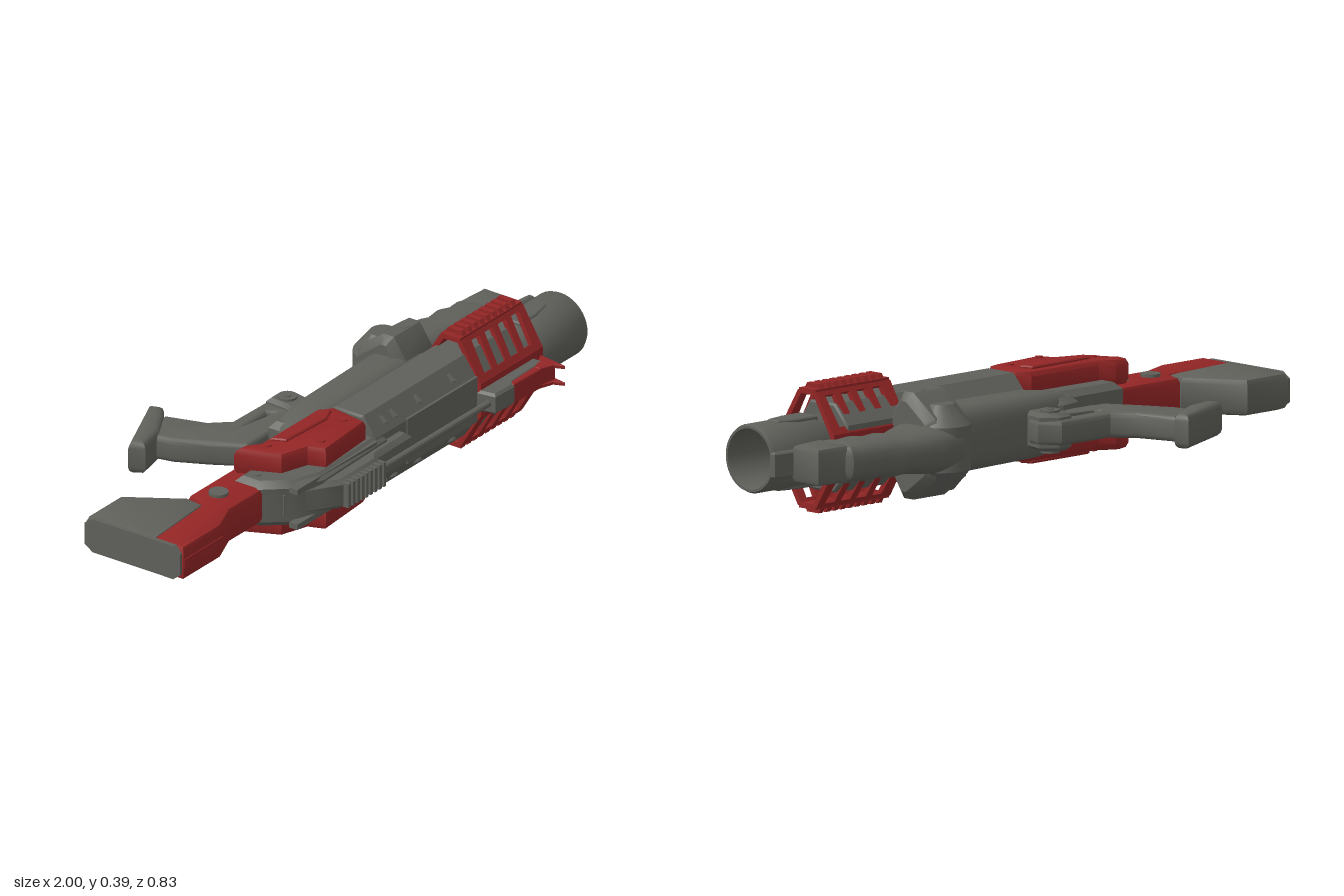
import * as THREE from 'three';
import { toCreasedNormals } from 'three/addons/utils/BufferGeometryUtils.js';

const CY = 0.197; // height of the plane of symmetry
const BZ = 0.192; // barrel axis depth

export function createModel() {
  const root = new THREE.Group();
  const paint = (name, color) => {
    const m = new THREE.MeshStandardMaterial({ color, side: THREE.DoubleSide });
    m.name = name;
    return m;
  };
  const grey = paint('gunmetal', 0x5f605a);
  const red = paint('red', 0x932525);

  const add = (name, mat, geo, crease = 0.6) => {
    const mesh = new THREE.Mesh(toCreasedNormals(geo, crease), mat);
    mesh.name = name;
    root.add(mesh);
    return mesh;
  };
  const toShape = (pts, Kind = THREE.Shape) => new Kind(pts.map(([a, b]) => new THREE.Vector2(a, b)));
  const extrude = (shape, depth, bevel, segs = 1) => new THREE.ExtrudeGeometry(shape, {
    depth: depth - 2 * bevel, bevelEnabled: bevel > 0, bevelThickness: bevel,
    bevelSize: bevel, bevelOffset: -bevel, bevelSegments: segs, curveSegments: 12,
  }).translate(0, 0, bevel - depth / 2);

  // side outline [x, z] given a thickness in y; dy shifts it off the symmetry plane
  const slab = (name, mat, pts, half, { bevel = 0.012, segs = 1, dy = 0, holes = [] } = {}) => {
    const flip = (list) => list.map(([x, z]) => [x, -z]);
    const shape = toShape(flip(pts));
    shape.holes = holes.map((h) => toShape(flip(h), THREE.Path));
    const geo = extrude(shape, half * 2, bevel, segs).rotateX(-Math.PI / 2).translate(0, CY + dy, 0);
    return add(name, mat, geo);
  };
  const pair = (name, mat, pts, half, dy, opt = {}) => [1, -1].forEach((s) =>
    slab((s > 0 ? 'upper ' : 'lower ') + name, mat, pts, half, { ...opt, dy: s * dy }));
  // cross-section [z, dy] run along x
  const prism = (name, mat, pts, x0, x1, bevel = 0) => add(name, mat,
    extrude(toShape(pts.map(([z, y]) => [-z, y])), x1 - x0, bevel)
      .rotateY(Math.PI / 2).translate((x0 + x1) / 2, CY, 0));
  const mirrored = (half) => [...half, ...half.map(([z, y]) => [z, -y]).reverse()];
  const box = (name, mat, w, h, d, x, dy, z) =>
    add(name, mat, new THREE.BoxGeometry(w, h, d).translate(x, CY + dy, z));
  const pin = (name, mat, r, len, x, z, n = 20) =>
    add(name, mat, new THREE.CylinderGeometry(r, r, len, n).translate(x, CY, z));

  // rounded loft along x through stations [x, zMin, zMax, halfHeight]
  const loft = (name, mat, stations, power = 0.7, n = 24) => {
    const pos = [], idx = [], last = stations.length - 1;
    const soft = (v) => Math.sign(v) * Math.abs(v) ** power;
    for (const [x, a, b, ry] of stations) for (let j = 0; j < n; j++) {
      const t = (j / n) * Math.PI * 2;
      pos.push(x, CY + ry * soft(Math.cos(t)), (a + b) / 2 + ((b - a) / 2) * soft(Math.sin(t)));
    }
    for (let i = 0; i < last; i++) for (let j = 0; j < n; j++) {
      const k = (j + 1) % n, p = i * n, q = p + n;
      idx.push(p + j, p + k, q + j, p + k, q + k, q + j);
    }
    for (let j = 1; j < n - 1; j++) {
      idx.push(0, j + 1, j, last * n, last * n + j, last * n + j + 1);
    }
    const g = new THREE.BufferGeometry();
    g.setAttribute('position', new THREE.Float32BufferAttribute(pos, 3));
    g.setIndex(idx);
    return add(name, mat, g, 0.8);
  };

  // stock, closed at the end by a full-height pad
  slab('butt', grey, [[-0.99, -0.12], [-0.82, -0.12], [-0.71, 0.05], [-0.72, 0.115], [-0.99, 0.135]], 0.058, { bevel: 0.022, segs: 2 });
  slab('stock', red, [[-0.99, 0.128], [-0.72, 0.11], [-0.7, 0.045], [-0.43, 0.045], [-0.43, 0.2], [-0.7, 0.2],
    [-0.8, 0.24], [-0.99, 0.24]], 0.058, { bevel: 0.018, segs: 2 });
  box('stock ridge', red, 0.19, 0.03, 0.006, -0.89, 0, 0.24);
  prism('butt pad', grey, mirrored([[0.235, 0.035], [0.21, 0.055], [-0.09, 0.055], [-0.12, 0.035]]), -1, -0.985);
  pin('stock knob', grey, 0.03, 0.135, -0.645, 0.115);

  // receiver
  slab('receiver', grey, [[-0.55, 0.1], [-0.45, 0.1], [-0.45, 0.035], [-0.2, 0.035], [-0.2, -0.03], [-0.12, -0.045],
    [-0.05, 0.0], [-0.05, 0.3], [-0.38, 0.31], [-0.48, 0.27], [-0.55, 0.19]], 0.075, { bevel: 0.02 });
  slab('receiver top', grey, [[-0.5, 0.2], [0.04, 0.2], [0.04, 0.325], [-0.13, 0.328], [-0.16, 0.35], [-0.34, 0.35],
    [-0.4, 0.31], [-0.5, 0.25]], 0.048, { bevel: 0.014 });
  for (let i = 0; i < 9; i++) box('rail tooth', grey, 0.012, 0.08, 0.025, -0.33 + i * 0.022, 0, 0.357);
  for (const s of [1, -1]) box('receiver side rail', grey, 0.4, 0.018, 0.03, -0.3, s * 0.058, 0.285);
  pin('rear receiver pin', grey, 0.014, 0.155, -0.5, 0.15, 12);

  // red side covers
  pair('side cover', red, [[-0.51, 0.072], [-0.46, 0.075], [-0.42, 0.105], [-0.14, 0.11], [-0.1, 0.14], [-0.12, 0.272],
    [-0.34, 0.288], [-0.36, 0.235], [-0.45, 0.205], [-0.485, 0.13]], 0.043, 0.097, { bevel: 0.02, segs: 2 });
  pair('cover ridge', red, [[-0.4, 0.125], [-0.16, 0.125], [-0.14, 0.16], [-0.19, 0.18], [-0.38, 0.17]], 0.006, 0.142, { bevel: 0.004 });
  for (const [x, z] of [[-0.43, 0.14], [-0.16, 0.22], [-0.31, 0.25]]) pin('cover bolt', red, 0.012, 0.288, x, z, 10);

  // main octagonal body
  prism('main body', grey, mirrored([[0.29, 0.07], [0.245, 0.135], [0.14, 0.135], [0.085, 0.075]]), -0.1, 0.66, 0.006);
  box('body top plate', grey, 0.35, 0.15, 0.012, 0.235, 0, 0.289);
  for (const s of [1, -1]) for (const x of [-0.03, 0.02, 0.14, 0.31]) {
    const vent = add('body vent', grey, new THREE.BoxGeometry(0.014, 0.03, 0.008).rotateX(-s * 0.97));
    vent.position.set(x, CY + s * 0.103, 0.2685);
  }
  const rod = add('top rod', grey, new THREE.CylinderGeometry(0.011, 0.011, 0.58, 10).rotateZ(Math.PI / 2));
  rod.position.set(0.13, CY, 0.337);

  // hollow barrel with a bore and muzzle lip
  const barrel = add('barrel', grey, new THREE.LatheGeometry([[0.09, 0.5], [0.1, 0.5], [0.1, 0.72], [0.105, 0.73],
    [0.105, 0.955], [0.1, 0.965], [0.092, 0.965], [0.089, 0.95], [0.089, 0.68], [0, 0.68]]
    .map(([r, y]) => new THREE.Vector2(r, y)), 40));
  barrel.rotation.z = -Math.PI / 2;
  barrel.position.set(0, CY, BZ);
  pair('barrel side plate', grey, [[0.72, 0.15], [0.8, 0.15], [0.87, 0.168], [0.87, 0.212], [0.8, 0.225], [0.72, 0.225]], 0.012, 0.095, { bevel: 0.004 });

  // slotted cage: flat panels running along x between two [z, dy] points
  const panel = (name, a, b, slots) => {
    const len = Math.hypot(b[0] - a[0], b[1] - a[1]);
    const shape = toShape([[0.41, 0], [0.72, 0], [0.72, len], [0.41, len]]);
    if (slots) for (let i = 0; i < 4; i++) {
      const x = 0.445 + i * 0.066;
      shape.holes.push(toShape([[x, len * 0.16], [x + 0.04, len * 0.16], [x + 0.048, len * 0.9], [x + 0.008, len * 0.9]], THREE.Path));
    }
    const geo = extrude(shape, 0.016, 0);
    const vx = new THREE.Vector3(1, 0, 0);
    const vy = new THREE.Vector3(0, b[1] - a[1], b[0] - a[0]).normalize();
    geo.applyMatrix4(new THREE.Matrix4().makeBasis(vx, vy, vx.clone().cross(vy)).setPosition(0, CY + a[1], a[0]));
    add(name, red, geo);
  };
  panel('cage front panel', [0.3, -0.055], [0.3, 0.055], false);
  for (const s of [1, -1]) {
    panel('cage front slope', [0.3, s * 0.05], [0.226, s * 0.172], true);
    panel('cage rear slope', [0.089, s * 0.05], [0.162, s * 0.172], true);
    panel('cage rear edge', [0.089, s * 0.03], [0.089, s * 0.055], false);
    box('cage cap', red, 0.31, 0.016, 0.07, 0.565, s * 0.174, 0.194);
    for (let i = 0; i < 9; i++) {
      prism('cage rib', red, [[0.228, s * 0.18], [0.218, s * 0.196], [0.17, s * 0.196], [0.16, s * 0.18]],
        0.43 + i * 0.031, 0.448 + i * 0.031);
    }
  }

  // front sight on the cage: grey base, red forked blade
  slab('sight base', grey, [[0.4, 0.3], [0.68, 0.3], [0.68, 0.345], [0.52, 0.35], [0.5, 0.365], [0.41, 0.362]], 0.034, { bevel: 0.008 });
  slab('sight plate', red, [[0.5, 0.343], [0.69, 0.338], [0.69, 0.375], [0.64, 0.366], [0.5, 0.362]], 0.033, { bevel: 0.003 });
  pair('sight blade', red, [[0.63, 0.345], [0.705, 0.31], [0.69, 0.413], [0.675, 0.38], [0.63, 0.364]], 0.006, 0.028, { bevel: 0.002 });

  // lower hull
  loft('lower hull', grey, [[-0.22, 0.02, 0.1, 0.06], [-0.16, -0.035, 0.1, 0.085], [-0.05, -0.045, 0.11, 0.1],
    [0.3, -0.05, 0.11, 0.105], [0.4, -0.03, 0.11, 0.1], [0.47, 0.04, 0.11, 0.08]], 0.6);

  // hinge disc under a tapered shoulder
  prism('hinge shoulder', grey, mirrored([[0.085, 0.095], [0.04, 0.162], [0.0, 0.162], [-0.09, 0.095], [-0.1, 0.07]]), 0.31, 0.49, 0.025);
  const hinge = add('hinge disc', grey, new THREE.LatheGeometry([[0, -0.13], [0.04, -0.13], [0.09, -0.068], [0.09, 0.068], [0.04, 0.13], [0, 0.13]]
    .map(([r, y]) => new THREE.Vector2(r, y)), 28));
  hinge.position.set(0.4, CY, -0.05);
  pin('hinge bolt', grey, 0.014, 0.327, 0.41, 0.022, 12);

  // foregrip
  loft('foregrip', grey, [[0.36, -0.12, 0.02, 0.055], [0.39, -0.145, 0.05, 0.066], [0.47, -0.145, 0.08, 0.075], [0.53, -0.135, 0.06, 0.068],
    [0.59, -0.125, 0.03, 0.06], [0.64, -0.118, 0.035, 0.066], [0.68, -0.106, 0.04, 0.06], [0.73, -0.108, 0.05, 0.066],
    [0.77, -0.095, 0.055, 0.06], [0.81, -0.095, 0.06, 0.064], [0.83, -0.065, 0.06, 0.058]]);
  slab('foregrip nose', grey, [[0.8, -0.075], [0.93, -0.065], [0.93, 0.045], [0.8, 0.06]], 0.058, { bevel: 0.016, segs: 2 });
  slab('foregrip lip', grey, [[0.82, 0.03], [0.93, 0.04], [1, 0.048], [1, 0.07], [0.82, 0.062]], 0.04, { bevel: 0.006 });
  slab('foregrip bracket', grey, [[0.62, 0.02], [0.68, 0.03], [0.66, 0.1], [0.63, 0.1]], 0.03);

  // pistol grip with trigger guard
  slab('pistol grip', grey, [[-0.43, -0.32], [-0.29, -0.35], [-0.25, -0.22], [-0.2, -0.165], [0.0, -0.16], [0.05, -0.11],
    [0.04, -0.06], [0.0, -0.03], [-0.3, -0.03], [-0.36, -0.13], [-0.41, -0.23]], 0.04, {
    bevel: 0.016, segs: 3, holes: [[[-0.24, -0.055], [-0.1, -0.055], [-0.07, -0.085], [-0.09, -0.118], [-0.2, -0.112], [-0.25, -0.08]]],
  });
  slab('grip foot', grey, [[-0.525, -0.31], [-0.28, -0.415], [-0.265, -0.37], [-0.31, -0.335], [-0.4, -0.285], [-0.5, -0.265]], 0.054, { bevel: 0.022, segs: 3 });
  slab('grip link', grey, [[-0.05, -0.15], [0.0, -0.15], [0.045, -0.11], [0.03, -0.04], [0.08, 0.0], [-0.15, 0.0], [-0.08, -0.035], [-0.055, -0.07]], 0.058);
  slab('trigger', grey, [[-0.15, -0.04], [-0.12, -0.04], [-0.135, -0.085], [-0.15, -0.095]], 0.012, { bevel: 0.003 });
  pin('grip pivot', grey, 0.03, 0.13, -0.01, -0.1);
  pin('grip pivot bolt', grey, 0.012, 0.136, -0.01, -0.1, 10);

  return root;
}
